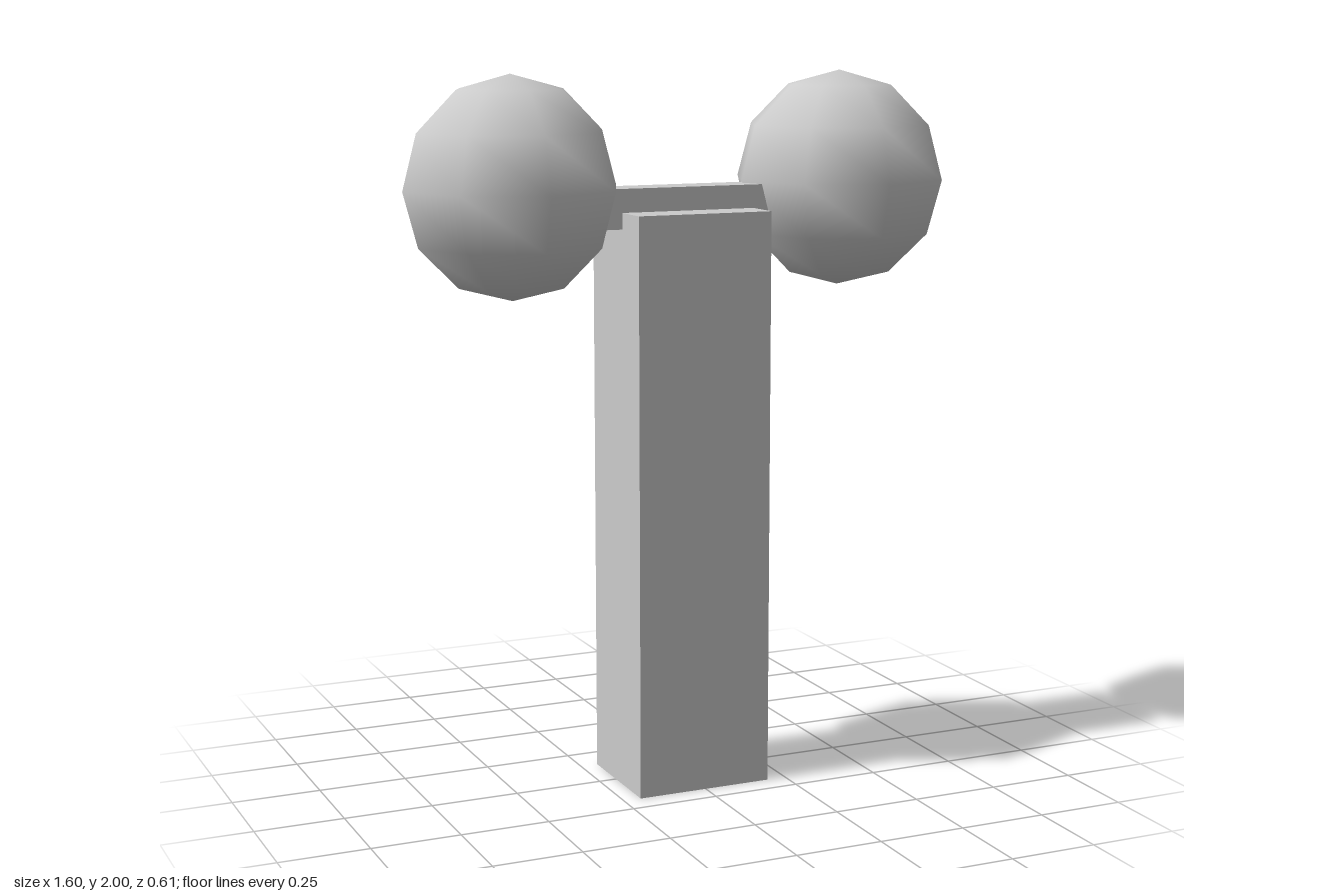
import * as THREE from 'three';

export function createModel() {
  const model = new THREE.Group();
  const grey = new THREE.MeshStandardMaterial({ color: 0xcccccc });
  const greyDouble = new THREE.MeshStandardMaterial({ color: 0xcccccc, side: THREE.DoubleSide });

  const add = (name, geometry, material, x, y, z) => {
    const mesh = new THREE.Mesh(geometry, material);
    mesh.name = name;
    mesh.position.set(x, y, z);
    model.add(mesh);
  };

  // Hollow post, open at the bottom: drop the box's -y face (fourth group of six indices)
  const postHeight = 1.625;
  const post = new THREE.BoxGeometry(0.394, postHeight, 0.325);
  const index = Array.from(post.index.array);
  index.splice(18, 6);
  post.setIndex(index);
  post.clearGroups();
  add('post', post, greyDouble, -0.003, postHeight / 2, 0.019);

  // Crossbar: a trapezoid, wider at its base, run through the top of the post
  const profile = new THREE.Shape([
    new THREE.Vector2(-0.25, 1.58),
    new THREE.Vector2(0.25, 1.58),
    new THREE.Vector2(0.22, 1.69),
    new THREE.Vector2(-0.22, 1.69),
  ]);
  const bar = new THREE.ExtrudeGeometry(profile, { depth: 0.103, bevelEnabled: false });
  add('crossbar', bar, grey, 0, 0, -0.035);

  // Low-poly balls with smooth shading, one at each end of the bar
  const ball = new THREE.SphereGeometry(0.304, 8, 6);
  for (const [name, side] of [['leftBall', 1], ['rightBall', -1]]) {
    add(name, ball, grey, side * 0.494, 1.696, 0);
  }

  return model;
}
